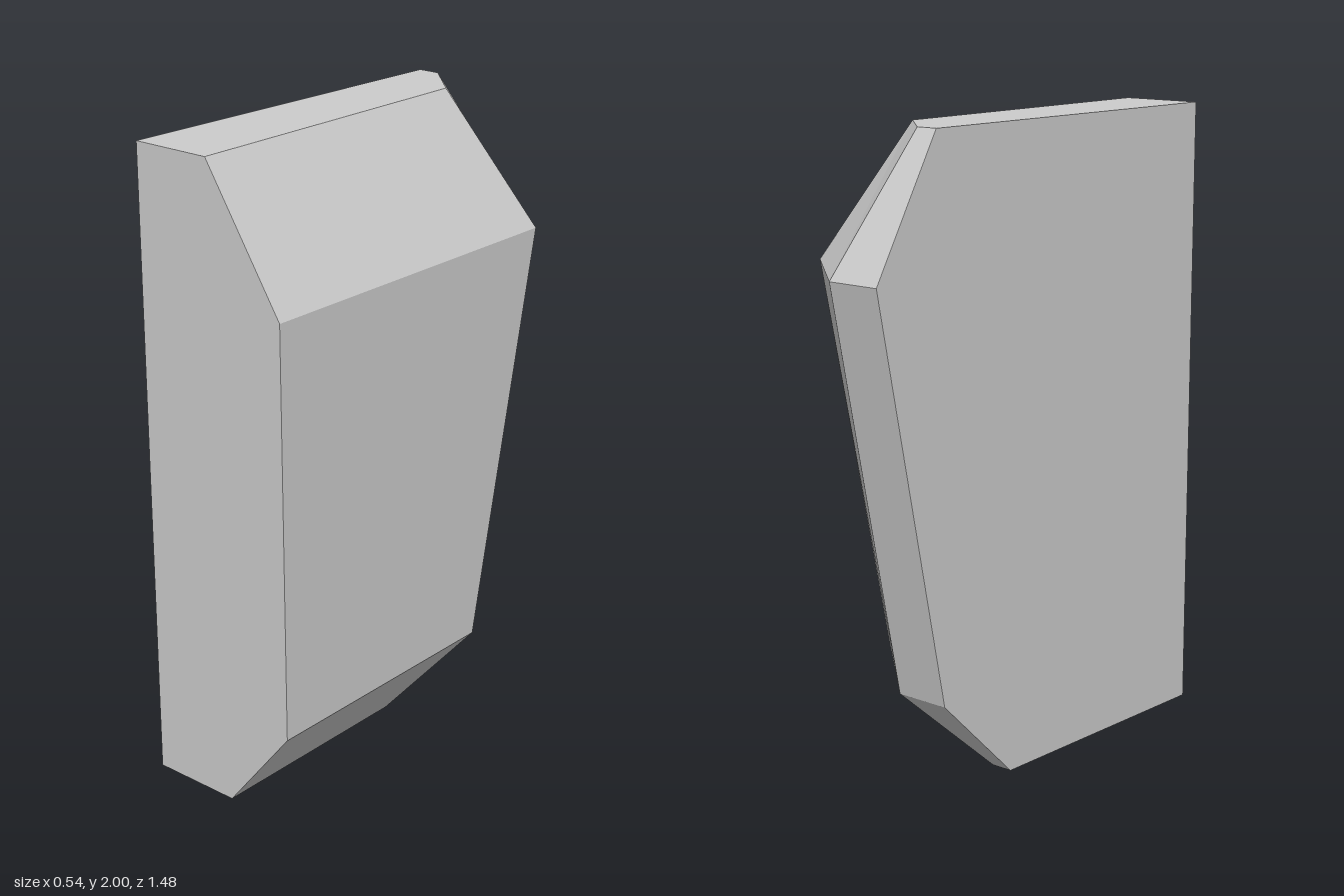
import * as THREE from 'three';

// Horizontal cross-sections from bottom to top; the wall at -x and the front stay flat
const WALL = -0.272, FRONT = 0.74;
const SECTIONS = [
  { y: 0.0, frontX: 0.034, sideX: 0.01, sideZ: 0.0, backX: -0.2, backZ: -0.165 },
  { y: 0.29, frontX: 0.272, sideX: 0.242, sideZ: -0.16, backX: -0.09, backZ: -0.467 },
  { y: 1.58, frontX: 0.272, sideX: 0.232, sideZ: -0.457, backX: -0.09, backZ: -0.74 },
  { y: 2.0, frontX: 0.0, sideX: -0.04, sideZ: -0.34, backX: -0.2, backZ: -0.493 },
];

// Five corners, counterclockwise seen from above
function ring({ y, frontX, sideX, sideZ, backX, backZ }) {
  return [
    [WALL, y, FRONT],
    [frontX, y, FRONT],
    [sideX, y, sideZ],
    [backX, y, backZ],
    [WALL, y, backZ],
  ];
}

function loft(rings) {
  const positions = [];
  const tri = (a, b, c) => positions.push(...a, ...b, ...c);
  const n = rings[0].length;
  const bottom = rings[0], top = rings[rings.length - 1];

  // Side walls and chamfers
  for (let r = 0; r < rings.length - 1; r++) {
    for (let i = 0; i < n; i++) {
      const j = (i + 1) % n;
      tri(rings[r][i], rings[r][j], rings[r + 1][i]);
      tri(rings[r][j], rings[r + 1][j], rings[r + 1][i]);
    }
  }
  // End caps
  for (let i = 1; i < n - 1; i++) {
    tri(top[0], top[i], top[i + 1]);
    tri(bottom[0], bottom[i + 1], bottom[i]);
  }
  const geometry = new THREE.BufferGeometry();
  geometry.setAttribute('position', new THREE.Float32BufferAttribute(positions, 3));
  geometry.computeVertexNormals();
  return geometry;
}

export function createModel() {
  const group = new THREE.Group();
  group.name = 'chamferedBlock';

  const lightGrey = new THREE.MeshStandardMaterial({ color: 0xcccccc });
  lightGrey.name = 'lightGrey';

  const body = new THREE.Mesh(loft(SECTIONS.map(ring)), lightGrey);
  body.name = 'body';
  group.add(body);
  return group;
}
